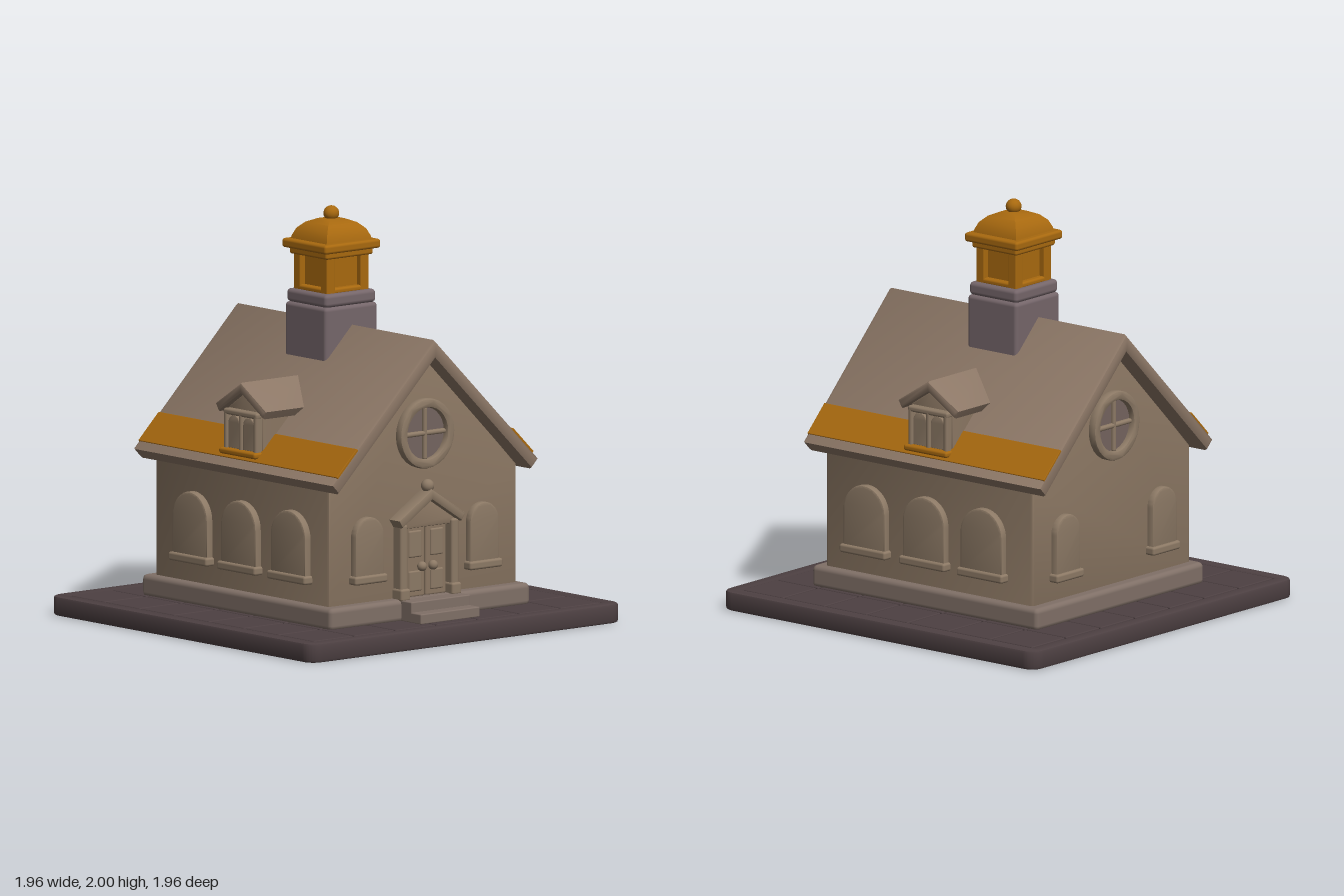
import * as THREE from 'three';
import { toCreasedNormals } from 'three/addons/utils/BufferGeometryUtils.js';
import { RoundedBoxGeometry } from 'three/addons/geometries/RoundedBoxGeometry.js';

const mat = (color) => new THREE.MeshStandardMaterial({ color });
const M = {
  stone: mat(0x4d4042), wall: mat(0x8a7662), trim: mat(0x8c7965), pane: mat(0x74645f),
  roof: mat(0x8c7766), brass: mat(0xa8690f), tower: mat(0x75666a), plinth: mat(0x807067),
};

function add(parent, name, geo, material, x = 0, y = 0, z = 0) {
  const m = new THREE.Mesh(geo, material);
  m.name = name;
  m.position.set(x, y, z);
  parent.add(m);
  return m;
}
// box with softened edges, placed by its centre
function block(parent, name, w, h, d, material, x, y, z, r = 0.012) {
  const rad = Math.min(r, w / 2.1, h / 2.1, d / 2.1);
  return add(parent, name, new RoundedBoxGeometry(w, h, d, 2, rad), material, x, y, z);
}
// bevelled extrusion along z, starting at z = 0, keeping the drawn outline size
function extrude(shape, depth, b = 0.01) {
  const g = new THREE.ExtrudeGeometry(shape, {
    depth: depth - 2 * b, bevelEnabled: b > 0, bevelSize: b, bevelThickness: b,
    bevelOffset: -b, bevelSegments: 2, curveSegments: 14,
  });
  g.translate(0, 0, b);
  return toCreasedNormals(g, 0.7);
}
const polygon = (pts) => new THREE.Shape(pts.map(([x, y]) => new THREE.Vector2(x, y)));

// round-headed outline
function arch(half, bottom, top) {
  const s = new THREE.Shape();
  s.moveTo(-half, bottom);
  s.lineTo(half, bottom);
  s.lineTo(half, top - half);
  s.absarc(0, top - half, half, 0, Math.PI, false);
  s.closePath();
  return s;
}
function archRing(half, bottom, top, t) {
  const s = arch(half, bottom, top);
  s.holes.push(arch(half - t, bottom + t * 0.4, top - t));
  return s;
}
// inverted V outline of constant thickness
function chevron(hw, peak, eave, t) {
  const L = Math.hypot(hw, peak - eave);
  const ix = hw - t * (peak - eave) / L, iy = eave - t * hw / L;
  return polygon([[0, peak], [-hw, eave], [-ix, iy], [0, peak - t * L / hw], [ix, iy], [hw, eave]]);
}

// arched window facing +z, origin on the wall plane
function archWindow(half, top) {
  const g = new THREE.Group();
  g.name = 'archedWindow';
  const y0 = 0.31, t = half * 0.34, inner = half - t;
  add(g, 'windowFrame', extrude(archRing(half, y0, top, t), 0.05), M.trim, 0, 0, -0.015);
  add(g, 'windowSash', extrude(archRing(inner, y0, top - t, 0.02), 0.03, 0.005), M.trim, 0, 0, -0.015);
  add(g, 'windowPane', extrude(arch(inner, y0, top - t), 0.02, 0), M.pane, 0, 0, -0.015);
  block(g, 'glazingBar', inner * 2, 0.018, 0.03, M.trim, 0, top - half - 0.03, 0.003);
  block(g, 'windowSill', half * 2 + 0.025, 0.042, 0.07, M.trim, 0, 0.31, 0.015);
  return g;
}

// round window facing +z
function roundWindow() {
  const g = new THREE.Group();
  g.name = 'roundWindow';
  const ring = new THREE.Shape().absarc(0, 0, 0.17, 0, Math.PI * 2);
  ring.holes.push(new THREE.Path().absarc(0, 0, 0.125, 0, Math.PI * 2));
  add(g, 'roundFrame', extrude(ring, 0.05, 0.012), M.trim, 0, 0, -0.01);
  add(g, 'roundPane', extrude(new THREE.Shape().absarc(0, 0, 0.13, 0, Math.PI * 2), 0.02, 0), M.pane, 0, 0, -0.012);
  block(g, 'roundBarAcross', 0.26, 0.024, 0.035, M.trim, 0, 0, 0.008);
  block(g, 'roundBarUpright', 0.024, 0.26, 0.035, M.trim, 0, 0, 0.008);
  return g;
}

// dormer facing +z, in model coordinates
function dormer() {
  const g = new THREE.Group();
  g.name = 'dormer';
  add(g, 'dormerBody', extrude(polygon([[-0.13, 0.84], [0.13, 0.84], [0.13, 1.07], [0, 1.16], [-0.13, 1.07]]), 0.36), M.wall, 0, 0, 0.21);
  add(g, 'dormerRoof', extrude(chevron(0.19, 1.205, 1.085, 0.045), 0.4, 0.012), M.roof, 0, 0, 0.2);
  for (const x of [-0.11, 0, 0.11]) block(g, 'dormerPost', 0.026, 0.2, 0.05, M.trim, x, 0.96, 0.58);
  block(g, 'dormerSill', 0.27, 0.03, 0.08, M.brass, 0, 0.865, 0.585);
  block(g, 'dormerLintel', 0.25, 0.03, 0.05, M.trim, 0, 1.055, 0.58);
  for (const x of [-0.055, 0.055]) {
    add(g, 'dormerLight', extrude(archRing(0.042, 0.88, 1.04, 0.014), 0.025, 0.004), M.trim, x, 0, 0.57);
    block(g, 'dormerBar', 0.08, 0.012, 0.02, M.trim, x, 0.955, 0.577);
  }
  return g;
}

// doorway facing +z, origin on the wall plane
function doorway() {
  const g = new THREE.Group();
  g.name = 'doorway';
  add(g, 'porchRoof', extrude(chevron(0.21, 0.715, 0.58, 0.045), 0.09, 0.012), M.trim, 0, 0, -0.015);
  add(g, 'porchGable', extrude(polygon([[-0.17, 0.53], [0.17, 0.53], [0.17, 0.57], [0, 0.68], [-0.17, 0.57]]), 0.05), M.wall, 0, 0, -0.01);
  add(g, 'porchBall', new THREE.SphereGeometry(0.032, 16, 12), M.trim, 0, 0.728, 0.035);
  for (const s of [-1, 1]) {
    block(g, 'doorPost', 0.045, 0.37, 0.07, M.trim, s * 0.16, 0.37, 0.02);
    block(g, 'doorPostFoot', 0.06, 0.06, 0.085, M.trim, s * 0.16, 0.215, 0.025);
    block(g, 'doorLeaf', 0.13, 0.35, 0.04, M.wall, s * 0.067, 0.365, 0.0);
    for (const [y, h] of [[0.27, 0.1], [0.45, 0.13]])
      block(g, 'doorPanel', 0.08, h, 0.02, M.trim, s * 0.068, y, 0.018, 0.008);
    add(g, 'doorKnob', new THREE.SphereGeometry(0.024, 14, 10), M.trim, s * 0.035, 0.34, 0.035);
  }
  block(g, 'upperStep', 0.37, 0.1, 0.18, M.plinth, 0, 0.142, 0.045, 0.006);
  block(g, 'lowerStep', 0.37, 0.05, 0.25, M.plinth, 0, 0.117, 0.08, 0.006);
  return g;
}

function paving(root) {
  const g = new THREE.Group();
  g.name = 'pavedBase';
  root.add(g);
  const R = 0.98, c = 0.07, q = 0.905;
  const rim = new THREE.Shape();
  [[R, R, 0], [-R, R, 1], [-R, -R, 2], [R, -R, 3]].forEach(([x, y, k]) =>
    rim.absarc(x - Math.sign(x) * c, y - Math.sign(y) * c, c, k * Math.PI / 2, (k + 1) * Math.PI / 2, false));
  rim.holes.push(polygon([[-q, -q], [-q, q], [q, q], [q, -q]]));
  add(g, 'baseRim', extrude(rim, 0.095, 0.014).rotateX(-Math.PI / 2), M.stone);
  add(g, 'baseFloor', new THREE.BoxGeometry(1.85, 0.08, 1.85), M.stone, 0, 0.041, 0);
  const n = 7, s = 2 * q / n;
  for (let i = 0; i < n; i++) for (let j = 0; j < n; j++) {
    if (i > 1 && i < n - 2 && j > 1 && j < n - 2) continue;
    block(g, 'pavingSlab', s - 0.01, 0.04, s - 0.01, M.stone, (i - 3) * s, 0.074, (j - 3) * s, 0.006);
  }
}

function cupola(root) {
  const g = new THREE.Group();
  g.name = 'tower';
  g.position.x = -0.035;
  g.scale.z = 1.06;
  root.add(g);
  block(g, 'towerBase', 0.31, 0.36, 0.31, M.tower, 0, 1.355, 0, 0.02);
  block(g, 'towerCap', 0.3, 0.065, 0.3, M.tower, 0, 1.565, 0, 0.02);
  block(g, 'lanternCore', 0.19, 0.22, 0.19, M.brass, 0, 1.69, 0, 0.005);
  block(g, 'lanternFoot', 0.25, 0.03, 0.25, M.brass, 0, 1.605, 0);
  for (const x of [-0.1, 0.1]) for (const z of [-0.1, 0.1])
    block(g, 'lanternPost', 0.05, 0.22, 0.05, M.brass, x, 1.7, z, 0.006);
  block(g, 'lanternCornice', 0.28, 0.04, 0.28, M.brass, 0, 1.785, 0);
  block(g, 'lanternEave', 0.33, 0.045, 0.33, M.brass, 0, 1.818, 0, 0.014);
  // four-sided domed cap
  const prof = [[0.135, 1.83], [0.13, 1.855], [0.115, 1.89], [0.085, 1.92], [0.045, 1.938], [0, 1.945]];
  const dome = new THREE.LatheGeometry(prof.map(([r, y]) => new THREE.Vector2(r * Math.SQRT2, y)), 4);
  add(g, 'domeCap', toCreasedNormals(dome.rotateY(Math.PI / 4), 0.6), M.brass);
  add(g, 'finialBall', new THREE.SphereGeometry(0.037, 18, 14), M.brass, 0, 1.963, 0);
}

export function createModel() {
  const root = new THREE.Group();
  root.name = 'house';
  paving(root);

  // plinth and walls
  block(root, 'plinth', 1.41, 0.11, 1.255, M.plinth, 0, 0.14, 0, 0.025);
  const W = 0.645, D = 0.59;
  const walls = polygon([[-D, 0.18], [D, 0.18], [D, 0.77], [0, 1.37], [-D, 0.77]]);
  add(root, 'walls', extrude(walls, W * 2, 0.015).rotateY(Math.PI / 2), M.wall, -W);

  // main roof with a coloured band above each eave
  add(root, 'mainRoof', extrude(chevron(0.65, 1.44, 0.8, 0.065), 1.485, 0.018).rotateY(Math.PI / 2), M.roof, -0.743);
  const slope = Math.atan2(0.64, 0.65);
  for (const s of [-1, 1]) {
    const band = block(root, 'roofBand', 1.475, 0.03, 0.18, M.brass, 0, 0.897 - 0.007, s * (0.551 - 0.007), 0.003);
    band.rotation.x = s * slope;
  }

  // long sides
  for (const s of [-1, 1]) {
    const side = new THREE.Group();
    side.name = s > 0 ? 'frontSide' : 'backSide';
    for (const x of [-0.35, 0.01, 0.38]) {
      const w = archWindow(0.13, 0.635);
      w.position.set(s * x, 0, D);
      side.add(w);
    }
    side.add(dormer());
    side.rotation.y = s > 0 ? 0 : Math.PI;
    root.add(side);
  }

  // gable ends, the left one with the entrance
  for (const s of [-1, 1]) {
    const end = new THREE.Group();
    end.name = s > 0 ? 'leftGable' : 'rightGable';
    for (const x of [-0.36, 0.36]) {
      const w = archWindow(0.09, 0.61);
      w.position.set(x, 0, W);
      end.add(w);
    }
    const r = roundWindow();
    r.position.set(0, 0.98, W);
    end.add(r);
    if (s > 0) {
      const d = doorway();
      d.position.z = W;
      end.add(d);
    }
    end.rotation.y = s * Math.PI / 2;
    root.add(end);
  }

  cupola(root);
  return root;
}
